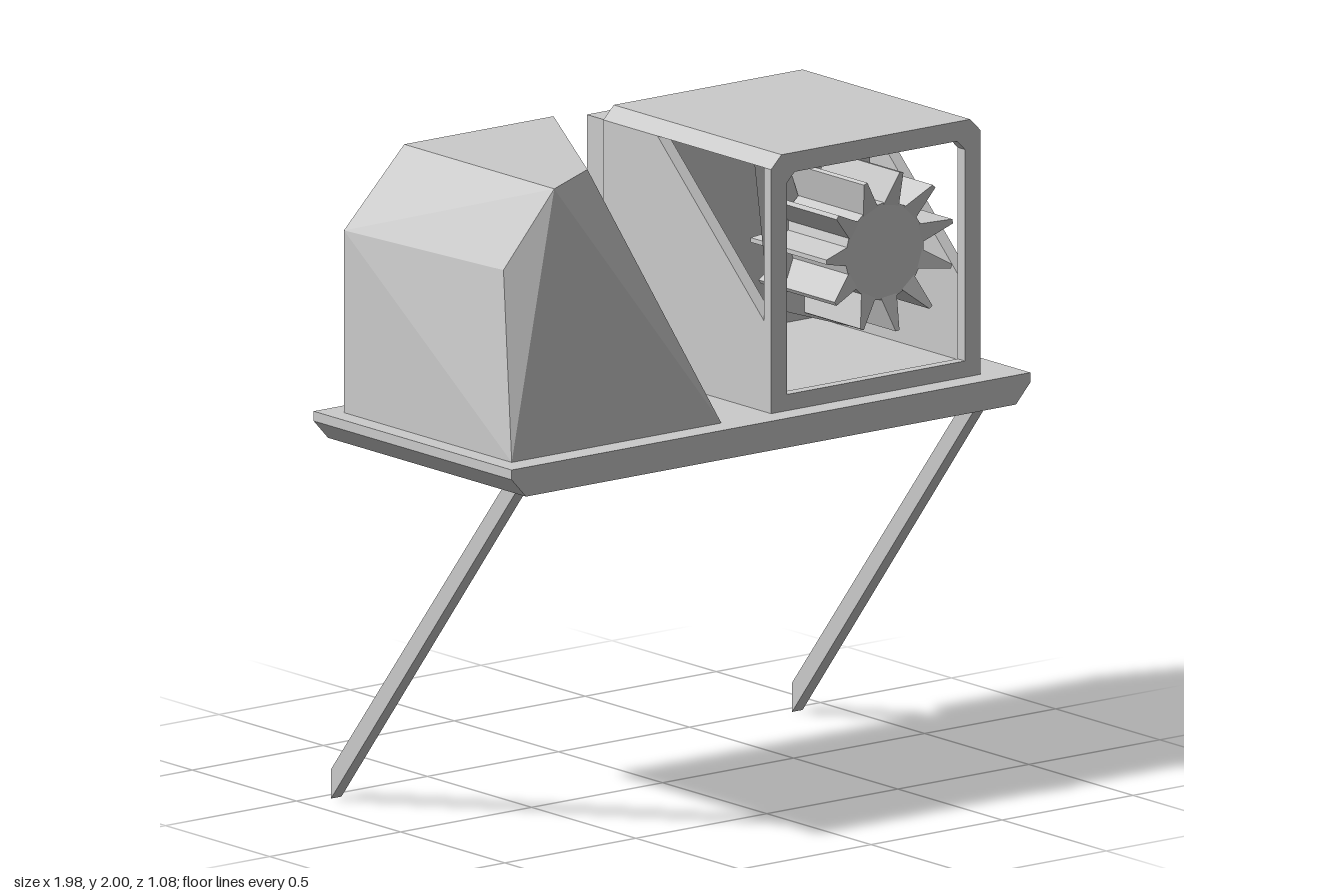
import * as THREE from 'three';
import { ConvexGeometry } from 'three/addons/geometries/ConvexGeometry.js';

const grey = new THREE.MeshStandardMaterial({ color: 0xcccccc, flatShading: true });
const thin = new THREE.MeshStandardMaterial({ color: 0xcccccc, flatShading: true, side: THREE.DoubleSide });

function add(parent, name, geometry, material = grey) {
  const mesh = new THREE.Mesh(geometry, material);
  mesh.name = name;
  parent.add(mesh);
  return mesh;
}

const points = (list) => list.map(([x, y]) => new THREE.Vector2(x, y));

// Front profile (x, y) extruded from z0 to z1, with an optional hole
function alongZ(profile, z0, z1, hole) {
  const shape = new THREE.Shape(points(profile));
  if (hole) shape.holes.push(new THREE.Path(points(hole)));
  return new THREE.ExtrudeGeometry(shape, { depth: z1 - z0, bevelEnabled: false }).translate(0, 0, z0);
}

// Side profile (z, y) extruded from x0 to x1
function alongX(profile, x0, x1) {
  return new THREE.ExtrudeGeometry(new THREE.Shape(points(profile)), { depth: x1 - x0, bevelEnabled: false })
    .rotateY(-Math.PI / 2).translate(x1, 0, 0);
}

function box(x0, x1, y0, y1, z0, z1) {
  return new THREE.BoxGeometry(x1 - x0, y1 - y0, z1 - z0)
    .translate((x0 + x1) / 2, (y0 + y1) / 2, (z0 + z1) / 2);
}

// Rotor fin: a box that narrows and flares lengthwise toward its tip
function fin() {
  const g = new THREE.BoxGeometry(1, 1, 1);
  const p = g.attributes.position;
  for (let i = 0; i < p.count; i++) {
    const tip = p.getY(i) > 0;
    p.setXYZ(i, p.getX(i) * (tip ? 0.014 : 0.06), tip ? 0.245 : 0.14,
      p.getZ(i) * (tip ? 0.365 : 0.31));
  }
  g.computeVertexNormals();
  return g;
}

export function createModel() {
  const model = new THREE.Group();
  model.name = 'model';

  // Platform with bevelled ends
  add(model, 'platform', alongZ(
    [[-0.935, 1.12], [0.935, 1.12], [0.99, 1.18], [0.99, 1.21], [-0.99, 1.21], [-0.99, 1.18]], -0.43, 0.52));

  // Slanted struts cut vertically where they meet the rear
  for (const [name, x] of [['leftStrut', 0.88], ['rightStrut', -0.88]]) {
    add(model, name, alongX([[0.435, 1.12], [-0.46, 0], [-0.46, 0.09], [0.37, 1.12]], x - 0.02, x + 0.02));
  }

  // Faceted hood
  add(model, 'hood', new ConvexGeometry([
    [-0.93, 1.21, 0.445], [-0.13, 1.21, 0.445], [-0.13, 1.21, -0.36], [-0.93, 1.21, -0.36],
    [-0.13, 2, -0.36], [-0.47, 2, 0.23], [-0.7, 2, 0.36], [-0.7, 2, -0.36],
    [-0.87, 1.77, 0.33], [-0.93, 1.77, -0.36],
  ].map((v) => new THREE.Vector3(...v))));

  // Open housing: front frame, notched walls, roof, floor and recessed back
  const housing = new THREE.Group();
  housing.name = 'housing';
  model.add(housing);
  add(housing, 'frontFrame', alongZ(
    [[0.06, 1.21], [0.86, 1.21], [0.86, 1.96], [0.82, 2], [0.1, 2], [0.06, 1.96]], 0.41, 0.445,
    [[0.12, 1.26], [0.12, 1.91], [0.15, 1.94], [0.77, 1.94], [0.8, 1.91], [0.8, 1.26]]));
  const wall = [[0.41, 1.21], [0.41, 1.49], [-0.1, 1.96], [-0.36, 1.96], [-0.36, 1.21]].reverse();
  add(housing, 'rightWall', alongX(wall, 0.06, 0.1));
  add(housing, 'leftWall', alongX(wall, 0.82, 0.86));
  add(housing, 'roof', alongZ([[0.06, 1.96], [0.86, 1.96], [0.82, 2], [0.1, 2]], -0.36, 0.41));
  add(housing, 'floor', box(0.1, 0.82, 1.21, 1.25, -0.36, 0.41));
  add(housing, 'backPanel', box(0.1, 0.82, 1.25, 1.96, -0.32, -0.3));
  add(housing, 'rearBox', box(0.14, 0.78, 1.33, 1.93, -0.54, -0.32));

  // Tilted baffle behind the rotor
  const baffle = new THREE.BufferGeometry();
  baffle.setAttribute('position', new THREE.Float32BufferAttribute(
    [0.15, 1.94, 0.25, 0.12, 1.51, 0.36, 0.63, 1.33, 0.15, 0.8, 1.9, 0], 3));
  baffle.setIndex([0, 1, 2, 0, 2, 3]);
  baffle.computeVertexNormals();
  add(housing, 'baffle', baffle, thin);

  // Spiked rotor
  const rotor = new THREE.Group();
  rotor.name = 'rotor';
  rotor.position.set(0.44, 1.665, 0.358);
  model.add(rotor);
  add(rotor, 'rotorCore', new THREE.CylinderGeometry(0.15, 0.15, 0.31, 22).rotateX(Math.PI / 2));
  const finShape = fin();
  for (let i = 0; i < 11; i++) {
    add(rotor, 'rotorFin', finShape).rotation.z = -Math.PI / 18 + (i * 2 * Math.PI) / 11;
  }

  return model;
}
